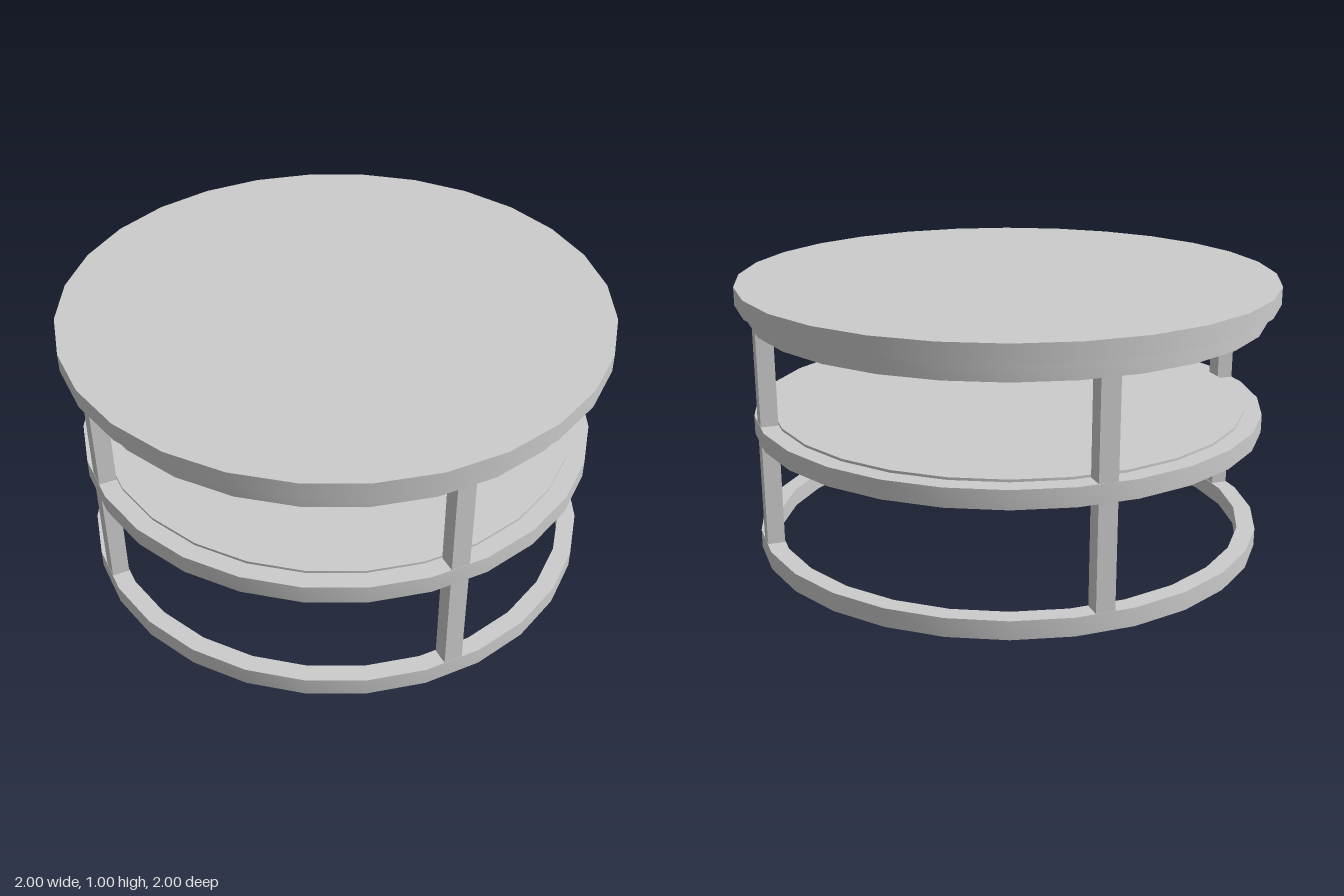
import * as THREE from 'three';
import { toCreasedNormals } from 'three/addons/utils/BufferGeometryUtils.js';

const SIDES = 28;
const RING_OUTER = 0.955, RING_INNER = 0.888, RING_HEIGHT = 0.068;

export function createModel() {
  const table = new THREE.Group();
  table.name = 'roundTable';
  const material = new THREE.MeshStandardMaterial({ color: 0xcccccc });

  const add = (name, geometry, y) => {
    const mesh = new THREE.Mesh(geometry, material);
    mesh.name = name;
    mesh.position.y = y;
    table.add(mesh);
    return mesh;
  };

  // Disc standing between two heights
  const addDisc = (name, radius, y0, y1) =>
    add(name, new THREE.CylinderGeometry(radius, radius, y1 - y0, SIDES), (y0 + y1) / 2);

  // Square-section ring resting at height y
  const section = [
    [RING_INNER, 0], [RING_OUTER, 0], [RING_OUTER, RING_HEIGHT],
    [RING_INNER, RING_HEIGHT], [RING_INNER, 0],
  ].map(([r, h]) => new THREE.Vector2(r, h));
  const ringGeometry = toCreasedNormals(new THREE.LatheGeometry(section, SIDES), 0.6);

  // Table top and the shelf held inside the middle ring
  addDisc('tableTop', 1, 0.937, 1.004);
  addDisc('shelf', RING_INNER, 0.444, 0.53);

  // Frame rings
  add('bottomRing', ringGeometry, 0);
  add('middleRing', ringGeometry, 0.453);
  add('topRing', ringGeometry, 0.87);

  // Four posts on the diagonals, ends buried in the rings
  const postGeometry = new THREE.BoxGeometry(0.069, 0.9, 0.063);
  for (let i = 0; i < 4; i++) {
    const angle = Math.PI / 4 + (i * Math.PI) / 2;
    const post = add('post' + (i + 1), postGeometry, 0.47);
    post.position.x = Math.sin(angle) * 0.9165;
    post.position.z = Math.cos(angle) * 0.9165;
    post.rotation.y = angle;
  }

  return table;
}
